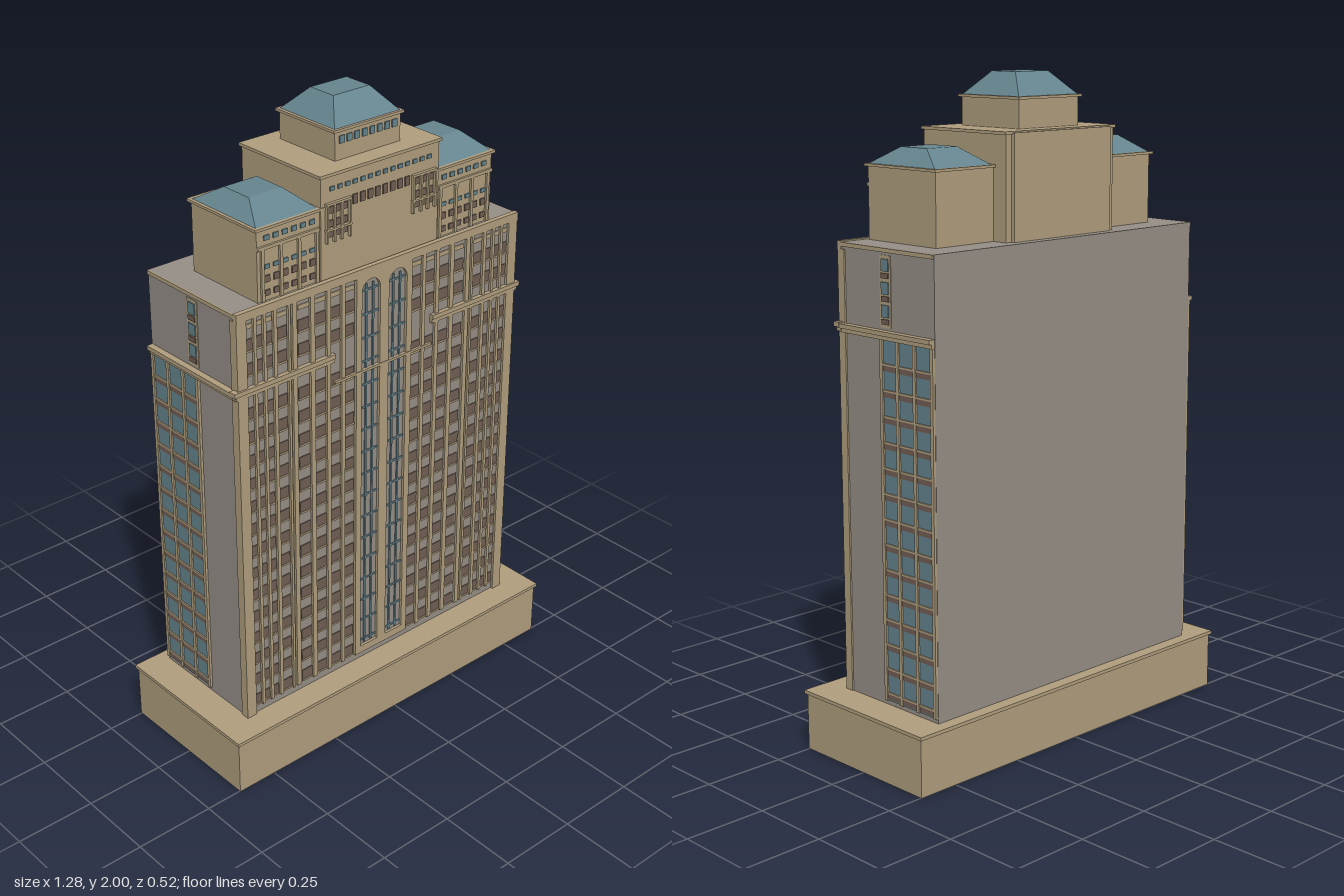
import * as THREE from 'three';
import { mergeGeometries } from 'three/addons/utils/BufferGeometryUtils.js';

const material = (name, color) => {
  const m = new THREE.MeshStandardMaterial({ color });
  m.name = name;
  return m;
};

// box given by its extents
function box(x0, x1, y0, y1, z0, z1) {
  const g = new THREE.BoxGeometry(Math.abs(x1 - x0), y1 - y0, z1 - z0);
  return g.translate((x0 + x1) / 2, (y0 + y1) / 2, (z0 + z1) / 2);
}

// hipped roof with a flat top: a box whose upper corners move inward
function hipRoof(x0, x1, y0, y1, z0, z1, top) {
  const g = box(x0, x1, y0, y1, z0, z1), p = g.attributes.position;
  const mx = (x0 + x1) / 2, mz = (z0 + z1) / 2;
  for (let i = 0; i < p.count; i++) {
    if (p.getY(i) < (y0 + y1) / 2) continue;
    p.setX(i, p.getX(i) < mx ? top[0] : top[1]);
    p.setZ(i, p.getZ(i) < mz ? top[2] : top[3]);
  }
  g.computeVertexNormals();
  return g;
}

export function createModel() {
  const stone = material('tan stone', 0xb09e7e);
  const wall = material('grey wall', 0x968f87);
  const brown = material('brown window', 0x725f54);
  const glass = material('blue glass', 0x66858f);

  const model = new THREE.Group();
  model.name = 'tower';
  const add = (name, mat, ...geos) => {
    const mesh = new THREE.Mesh(geos.length > 1 ? mergeGeometries(geos) : geos[0], mat);
    mesh.name = name;
    model.add(mesh);
  };

  // podium with a thin lip
  add('podium', stone, box(-0.632, 0.632, 0, 0.175, -0.253, 0.253));
  add('podiumLip', stone, box(-0.638, 0.638, 0.175, 0.186, -0.26, 0.26));

  // main shaft
  const F = 0.174;
  add('shaft', wall, box(-0.535, 0.535, 0.186, 1.53, -0.22, F));

  // front facade: columns of windows between stone piers, mirrored
  const pitch = 0.0755;
  const rows = Array.from({ length: 14 }, (_, i) => 0.236 + i * pitch).concat(1.356, 1.43);
  const columns = [[0.13, 0.036], [0.183, 0.036], [0.24, 0.04], [0.3, 0.04],
    [0.378, 0.034], [0.423, 0.02], [0.458, 0.02], [0.492, 0.02]];
  const piers = [[0.1565, 0.013], [0.211, 0.014], [0.27, 0.016], [0.335, 0.016],
    [0.354, 0.008], [0.404, 0.012], [0.441, 0.01], [0.475, 0.01]];
  const windows = [], sills = [], pierGeos = [], lintels = [];
  for (const s of [-1, 1]) {
    for (const [x, w] of columns) {
      for (const y of rows) {
        windows.push(box(s * x - w / 2, s * x + w / 2, y - 0.017, y + 0.017, F, F + 0.003));
        sills.push(box(s * x - w / 2, s * x + w / 2, y - 0.023, y - 0.017, F, F + 0.005));
      }
      lintels.push(box(s * x - w / 2, s * x + w / 2, 1.478, 1.492, F, F + 0.003));
    }
    for (const [x, w] of piers)
      pierGeos.push(box(s * x - w / 2, s * x + w / 2, 0.21, 1.51, F, F + 0.008));
    // broad corner pier
    pierGeos.push(box(s * 0.505, s * 0.54, 0.186, 1.51, F - 0.02, F + 0.008));
  }
  add('facadeWindows', brown, ...windows);
  add('facadeSills', stone, ...sills);
  add('facadeLintels', stone, ...lintels);
  add('facadePiers', stone, ...pierGeos);

  // central frame with two tall arched bays
  const frame = new THREE.Shape();
  frame.moveTo(-0.108, 0.21).lineTo(0.108, 0.21).lineTo(0.108, 1.51).lineTo(-0.108, 1.51);
  for (const c of [-0.052, 0.052]) {
    const hole = new THREE.Path();
    hole.moveTo(c - 0.035, 0.235).lineTo(c - 0.035, 1.46);
    hole.absarc(c, 1.46, 0.035, Math.PI, 0, true);
    hole.lineTo(c + 0.035, 0.235);
    frame.holes.push(hole);
  }
  add('archedFrame', stone,
    new THREE.ExtrudeGeometry(frame, { depth: 0.009, bevelEnabled: false, curveSegments: 8 }).translate(0, 0, F));
  const bars = [];
  for (const c of [-0.052, 0.052]) {
    for (const d of [-0.013, 0.013])
      bars.push(box(c + d - 0.003, c + d + 0.003, 0.24, 1.48, F, F + 0.004));
    for (let i = 0; i < 17; i++)
      bars.push(box(c - 0.035, c + 0.035, 0.25 + i * pitch, 0.256 + i * pitch, F, F + 0.003));
  }
  add('bayGlazingBars', glass, ...bars);

  // cornices and parapet
  const cornice = [box(-0.19, 0.19, 1.205, 1.213, F, F + 0.011)];
  for (const s of [-1, 1]) {
    cornice.push(box(s * 0.19, s * 0.548, 1.275, 1.288, F - 0.01, F + 0.01));
    cornice.push(box(s * 0.19, s * 0.556, 1.288, 1.302, F - 0.01, F + 0.014));
    cornice.push(box(s * 0.53, s * 0.546, 1.272, 1.285, -0.218, F));
    cornice.push(box(s * 0.53, s * 0.555, 1.285, 1.298, -0.218, F));
    cornice.push(box(s * 0.534, s * 0.54, 1.518, 1.53, -0.218, F));
  }
  add('cornices', stone, ...cornice);
  add('parapet', stone, box(-0.54, 0.54, 1.508, 1.534, F - 0.006, F + 0.01));

  // glazed strip on the rear half of each side, plus a small upper window
  const sideGlass = [], spandrels = [], mullions = [];
  for (const s of [-1, 1]) {
    const a = s * 0.535;
    sideGlass.push(box(a, s * 0.538, 0.2, 1.272, -0.216, 0));
    for (const z of [-0.003, -0.07, -0.141, -0.213])
      mullions.push(box(a, s * 0.543, 0.2, 1.272, z - 0.006, z + 0.006));
    for (let i = 0; i < 15; i++) {
      const y = 0.205 + i * 0.0752;
      if (y + 0.02 < 1.275) {
        spandrels.push(box(a, s * 0.54, y, y + 0.018, -0.216, 0));
        mullions.push(box(a, s * 0.542, y + 0.016, y + 0.022, -0.216, 0));
      }
    }
    mullions.push(box(a, s * 0.537, 1.305, 1.51, -0.042, 0.004));
    for (const y of [1.325, 1.39, 1.455]) {
      sideGlass.push(box(a, s * 0.54, y + 0.01, y + 0.045, -0.034, -0.004));
      spandrels.push(box(a, s * 0.54, y - 0.01, y + 0.005, -0.034, -0.004));
    }
  }
  add('sideGlazing', glass, ...sideGlass);
  add('sideSpandrels', brown, ...spandrels);
  add('sideMullions', stone, ...mullions);

  // two wings on the roof, each with a hipped roof
  const W = 0.156, wingGlass = [], wingBrown = [], wingPiers = [];
  for (const s of [-1, 1]) {
    add('wing', stone, box(s * 0.2, s * 0.443, 1.53, 1.74, -0.128, W));
    add('wingEave', stone, box(s * 0.2, s * 0.452, 1.74, 1.748, -0.137, W + 0.008));
    const roof = s > 0 ? [0.228, 0.442, 0.28, 0.395] : [-0.442, -0.228, -0.395, -0.28];
    add('wingRoof', glass, hipRoof(roof[0], roof[1], 1.748, 1.797, -0.124, 0.153,
      [roof[2], roof[3], -0.04, 0.068]));
    for (const x of [0.25, 0.282, 0.314, 0.346, 0.378, 0.41]) {
      const l = s * x - 0.009, r = s * x + 0.009;
      wingGlass.push(box(l, r, 1.708, 1.722, W, W + 0.004), box(l, r, 1.625, 1.637, W, W + 0.004));
      wingBrown.push(box(l, r, 1.585, 1.605, W, W + 0.004), box(l, r, 1.545, 1.562, W, W + 0.004));
    }
    for (const x of [0.234, 0.298, 0.362, 0.427])
      wingPiers.push(box(s * x - 0.005, s * x + 0.005, 1.53, 1.69, W, W + 0.007));
    wingPiers.push(box(s * 0.226, s * 0.443, 1.683, 1.693, W, W + 0.007));
  }
  add('wingUpperWindows', glass, ...wingGlass);
  add('wingLowerWindows', brown, ...wingBrown);
  add('wingPiers', stone, ...wingPiers);

  // central crown block
  const C = 0.162;
  add('crownBlock', stone, box(-0.222, 0.222, 1.53, 1.833, -0.178, C));
  add('crownBackBay', stone, box(-0.2, 0.2, 1.53, 1.838, -0.19, -0.17));
  add('crownCornice', stone, box(-0.229, 0.229, 1.833, 1.842, -0.183, C + 0.006));
  const crownGlass = [], crownBrown = [], balconies = [];
  for (let i = 0; i < 14; i++) {
    const x = -0.182 + i * 0.028;
    crownGlass.push(box(x - 0.008, x + 0.008, 1.79, 1.802, C, C + 0.004));
  }
  for (let i = 0; i < 8; i++) {
    const x = -0.098 + i * 0.028;
    crownBrown.push(box(x - 0.009, x + 0.009, 1.73, 1.758, C, C + 0.004));
  }
  for (const s of [-1, 1]) {
    for (const x of [0.137, 0.163, 0.189])
      for (const y of [1.655, 1.685, 1.725])
        crownBrown.push(box(s * x - 0.009, s * x + 0.009, y, y + 0.02, C, C + 0.004));
    for (const x of [0.12, 0.15, 0.176, 0.204])
      balconies.push(box(s * x - 0.003, s * x + 0.003, 1.64, 1.75, C, C + 0.01));
    balconies.push(box(s * 0.115, s * 0.208, 1.675, 1.681, C, C + 0.01));
    balconies.push(box(s * 0.115, s * 0.208, 1.75, 1.757, C, C + 0.01));
  }
  add('crownUpperWindows', glass, ...crownGlass);
  add('crownWindows', brown, ...crownBrown);
  add('balconyFrames', stone, ...balconies);

  // penthouse and top roof
  add('penthouse', stone, box(-0.122, 0.122, 1.84, 1.925, -0.13, 0.106));
  add('penthouseEave', stone, box(-0.131, 0.131, 1.925, 1.933, -0.138, 0.113));
  add('penthouseWindows', glass, ...Array.from({ length: 8 }, (_, i) => {
    const x = -0.098 + i * 0.028;
    return box(x - 0.009, x + 0.009, 1.89, 1.912, 0.106, 0.11);
  }));
  add('topRoof', glass, hipRoof(-0.121, 0.121, 1.933, 2, -0.128, 0.104, [-0.067, 0.067, -0.06, 0.037]));

  return model;
}
